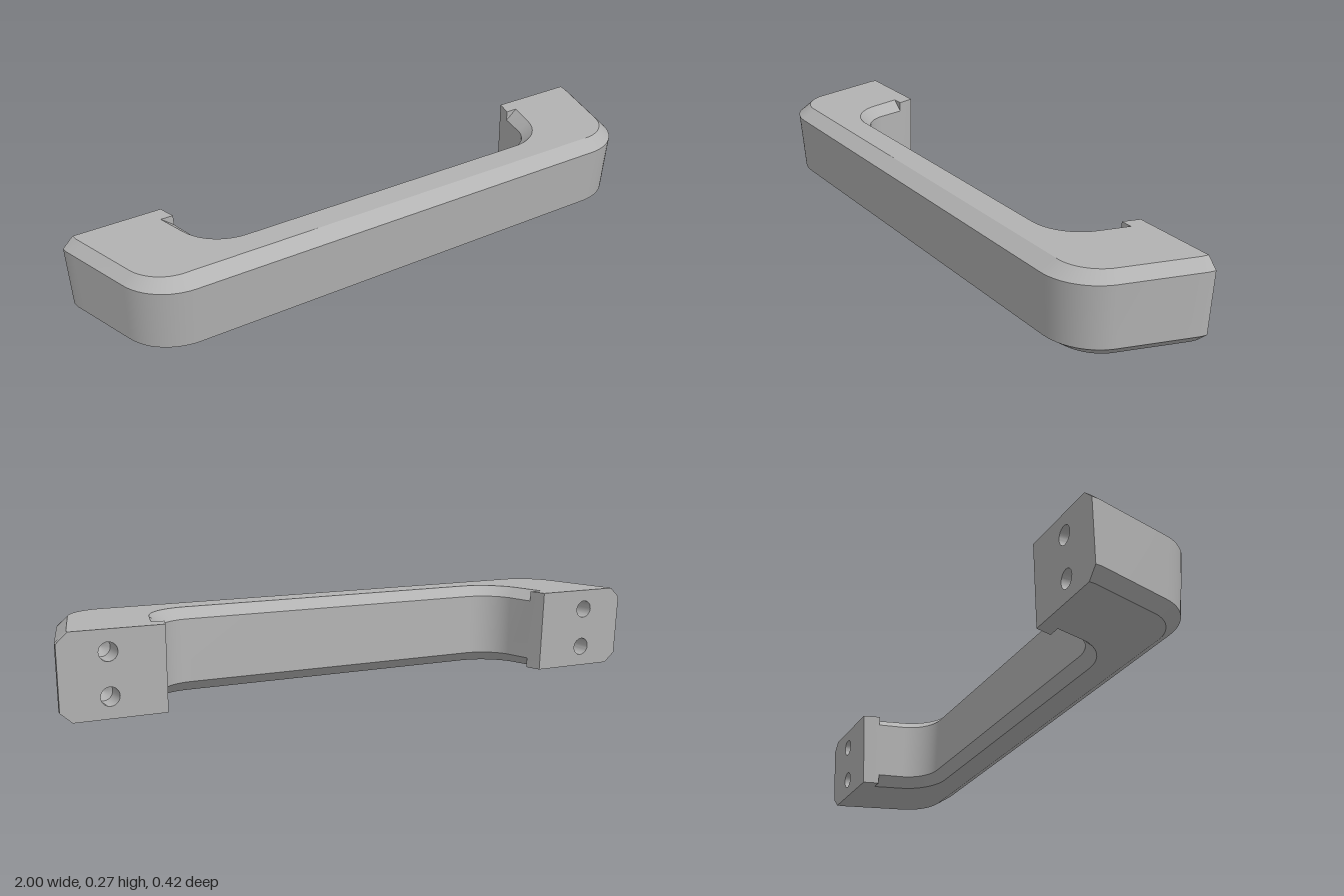
import * as THREE from 'three';
import { toCreasedNormals } from 'three/addons/utils/BufferGeometryUtils.js';

const H = 0.267, CH = 0.033;      // bar height, chamfer height
const BACK = -0.207;              // mounting plane
const SLOPE = 0.277;              // how far the legs lean inwards
const LEAN = Math.atan(SLOPE);

// Slight draft: the bar narrows towards its underside
function draft(geometry) {
  const p = geometry.attributes.position;
  for (let i = 0; i < p.count; i++) {
    const d = p.getY(i) - (H - CH), x = p.getX(i), z = p.getZ(i);
    const t = (z + 0.207) / 0.414;
    p.setXYZ(i, x * (1 + 0.03 * d), p.getY(i), z + d * (-0.034 + 0.119 * t));
  }
  return geometry;
}

// Plan points for one leg: outer edge, outer inset, inner edge, inner inset
function legStations() {
  const list = [];
  const straight = (z, chamfered) => {
    const xo = z < -0.19 ? -1 : -0.998 + (z + 0.185) * SLOPE;
    const xi = -0.676 + (z - BACK) * SLOPE;
    list.push([[xo, z], [xo + 0.036, z], [xi, z], [xi - (chamfered ? 0.041 : 0), z]]);
  };
  straight(BACK, false);
  straight(-0.185, false);
  straight(-0.15, false);
  straight(-0.15, true);
  // Rounded corner
  const steps = 12;
  for (let i = 0; i <= steps; i++) {
    const t = i / steps, a = LEAN + t * (Math.PI / 2 - LEAN);
    const at = (cx, cz, r) => [cx - r * Math.cos(a), cz + r * Math.sin(a)];
    list.push([
      at(-0.753, 0.027, 0.18), at(-0.753, 0.027, 0.145 - 0.015 * t),
      at(-0.52, -0.09, 0.125), at(-0.52, -0.09, 0.16),
    ]);
  }
  return list;
}

// Chamfered section swept from foot to foot
function barGeometry() {
  const half = legStations();
  const mirrored = half.slice().reverse().map((s) => s.map(([x, z]) => [-x, z]));
  const rings = [...half, ...mirrored].map(([o, oi, n, ni]) => [
    [oi, 0], [o, CH], [o, H - CH], [oi, H],
    [ni, H], [n, H - CH], [n, CH], [ni, 0],
  ].map(([[x, z], y]) => [x, y, z]));
  const pos = [];
  for (let i = 0; i < rings.length - 1; i++) {
    for (let k = 0; k < 8; k++) {
      const a = rings[i][k], b = rings[i + 1][k];
      const c = rings[i + 1][(k + 1) % 8], d = rings[i][(k + 1) % 8];
      pos.push(...a, ...b, ...c, ...a, ...c, ...d);
    }
  }
  const g = new THREE.BufferGeometry();
  g.setAttribute('position', new THREE.Float32BufferAttribute(pos, 3));
  return toCreasedNormals(draft(g), 0.4);
}

const HOLE_X = 0.85, HOLE_Y = [0.067, 0.2], HOLE_R = 0.029;

// Mounting face of one foot, pierced by two screw holes
function footFace(side) {
  const shape = new THREE.Shape([
    [0.676, 0], [0.964, 0], [1, CH], [1, H - CH], [0.964, H], [0.676, H],
  ].map(([x, y]) => new THREE.Vector2(-side * x, y)));
  for (const y of HOLE_Y) {
    shape.holes.push(new THREE.Path().absarc(-side * HOLE_X, y, HOLE_R, 0, Math.PI * 2, true));
  }
  const g = draft(new THREE.ShapeGeometry(shape, 12).rotateY(Math.PI).translate(0, 0, BACK));
  g.computeVertexNormals();
  return g;
}

// Blind hole with a conical bottom, seen from inside
function screwHole(x, y) {
  const profile = [[HOLE_R, 0], [HOLE_R, -0.08], [0, -0.097]].map(([r, d]) => new THREE.Vector2(r, d));
  const g = new THREE.LatheGeometry(profile, 24).rotateX(-Math.PI / 2).translate(x, y, BACK);
  return toCreasedNormals(draft(g), 0.5);
}

export function createModel() {
  const group = new THREE.Group();
  group.name = 'pullHandle';
  const metal = new THREE.MeshStandardMaterial({ color: 0xb2b2b2 });
  metal.name = 'satin grey';

  const add = (name, geometry) => {
    const mesh = new THREE.Mesh(geometry, metal);
    mesh.name = name;
    group.add(mesh);
  };

  add('gripBar', barGeometry());
  for (const side of [1, -1]) {
    const label = side > 0 ? 'left' : 'right';
    add(label + 'FootFace', footFace(side));
    HOLE_Y.forEach((y, i) => add(label + (i ? 'Upper' : 'Lower') + 'ScrewHole', screwHole(side * HOLE_X, y)));
  }
  return group;
}
